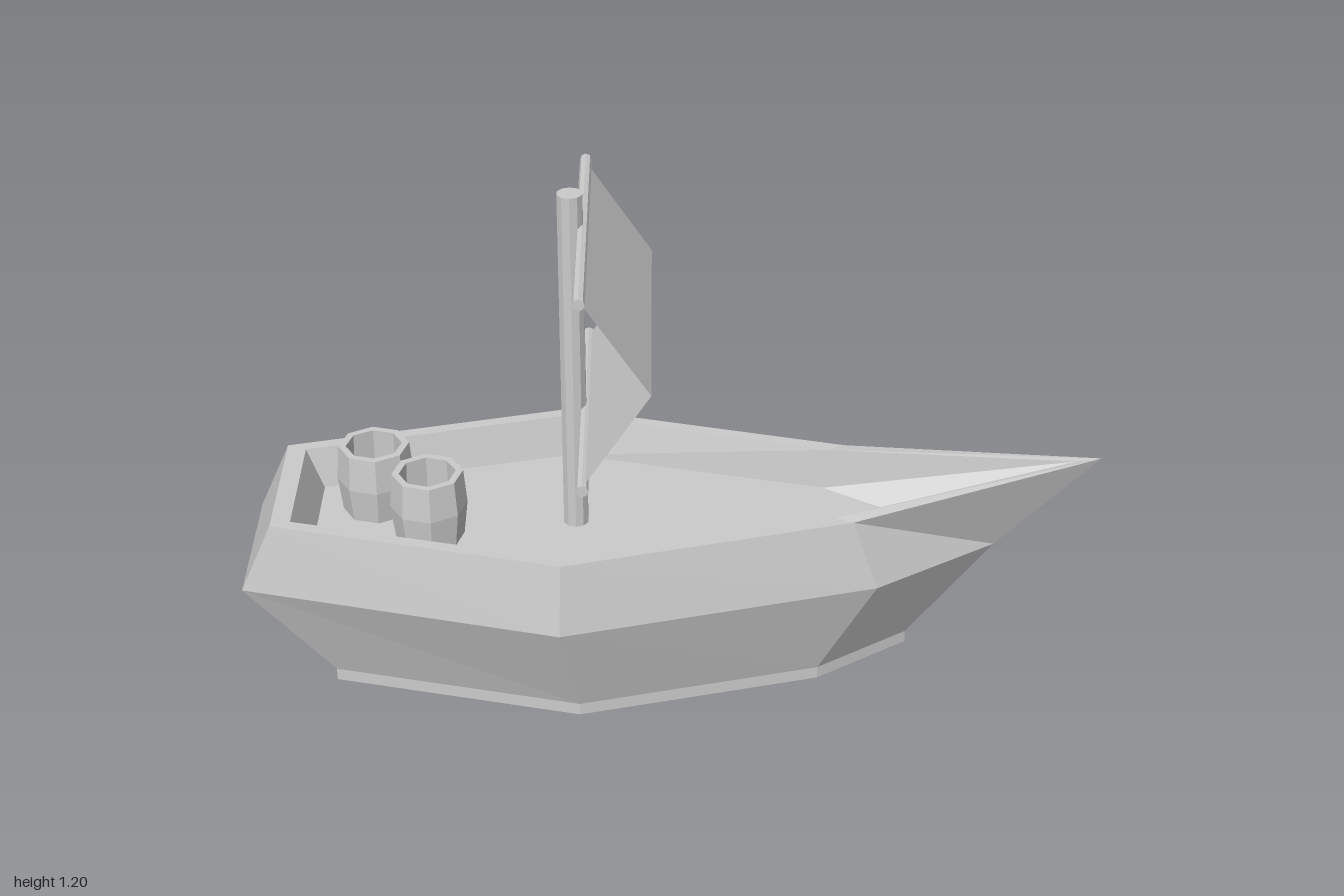
import * as THREE from 'three';

const material = new THREE.MeshStandardMaterial({ color: 0xcccccc, flatShading: true });
const thin = new THREE.MeshStandardMaterial({ color: 0xcccccc, flatShading: true, side: THREE.DoubleSide });

function add(parent, name, geometry, x = 0, y = 0, z = 0, mat = material) {
  const mesh = new THREE.Mesh(geometry, mat);
  mesh.name = name;
  mesh.position.set(x, y, z);
  parent.add(mesh);
  return mesh;
}

// Closed ring from bow, fore, mid and stern stations [x, half width], mirrored across z.
function ring(y, bow, fore, mid, stern, bowY = y) {
  const half = [fore, mid, stern];
  return [
    [bow, bowY, 0],
    ...half.map(([x, w]) => [x, y, w]),
    ...half.reverse().map(([x, w]) => [x, y, -w]),
  ];
}

// Skin over successive rings, closed at both ends.
function loft(rings) {
  const out = [];
  const tri = (...points) => points.forEach((p) => out.push(...p));
  const n = rings[0].length;
  for (let i = 0; i < rings.length - 1; i++) {
    for (let j = 0; j < n; j++) {
      const k = (j + 1) % n;
      const a = rings[i][j], b = rings[i + 1][j], c = rings[i + 1][k], d = rings[i][k];
      // Mirrored diagonals keep both sides alike
      if (j <= 3) { tri(a, b, c); tri(a, c, d); }
      else { tri(a, b, d); tri(b, c, d); }
    }
  }
  const first = rings[0], last = rings[rings.length - 1];
  for (let j = 1; j < n - 1; j++) {
    tri(first[0], first[j], first[j + 1]);
    tri(last[0], last[j + 1], last[j]);
  }
  const geometry = new THREE.BufferGeometry();
  geometry.setAttribute('position', new THREE.Float32BufferAttribute(out, 3));
  geometry.computeVertexNormals();
  return geometry;
}

export function createModel() {
  const model = new THREE.Group();
  model.name = 'sailingBoat';

  // Hull: keel band, flared sides, gunwale, inner walls and deck
  const keel = [0.56, [0.34, 0.15], [-0.22, 0.295], [-0.8, 0.15]];
  add(model, 'hull', loft([
    ring(0, ...keel),
    ring(0.03, ...keel),
    ring(0.28, 0.76, [0.47, 0.19], [-0.26, 0.385], [-1, 0.19]),
    ring(0.45, 1, [0.41, 0.175], [-0.255, 0.355], [-0.925, 0.182], 0.515),
    ring(0.45, 0.94, [0.37, 0.153], [-0.25, 0.325], [-0.88, 0.163], 0.507),
    ring(0.35, 0.57, [0.36, 0.143], [-0.25, 0.302], [-0.84, 0.153]),
  ]));

  // Mast
  add(model, 'mast', new THREE.CylinderGeometry(0.03, 0.03, 0.86, 10), -0.23, 0.77, 0);

  // Yards above and below the sail
  for (const [name, y] of [['upperYard', 1.114], ['lowerYard', 0.655]]) {
    add(model, name, new THREE.CylinderGeometry(0.014, 0.014, 0.74, 8), -0.203, y, 0).rotation.x = Math.PI / 2;
  }

  // Sail: a sheet folded forward along its middle
  const sail = new THREE.PlaneGeometry(0.706, 0.452, 1, 2).rotateY(Math.PI / 2);
  const p = sail.attributes.position;
  for (let i = 0; i < p.count; i++) if (Math.abs(p.getY(i)) < 0.01) p.setX(i, 0.15);
  sail.computeVertexNormals();
  add(model, 'sail', sail, -0.2, 0.885, 0, thin);

  // Open eight-sided barrels with bulging staves
  const profile = [[0, 0], [0.08, 0], [0.09, 0.085], [0.083, 0.17], [0.066, 0.17], [0.07, 0.02], [0, 0.02]]
    .map(([r, y]) => new THREE.Vector2(r, y));
  for (const [i, [x, z]] of [[-0.705, -0.067], [-0.57, 0.06]].entries()) {
    add(model, 'barrel' + (i + 1), new THREE.LatheGeometry(profile, 8), x, 0.35, z, thin).rotation.y = 0.12;
  }

  return model;
}
